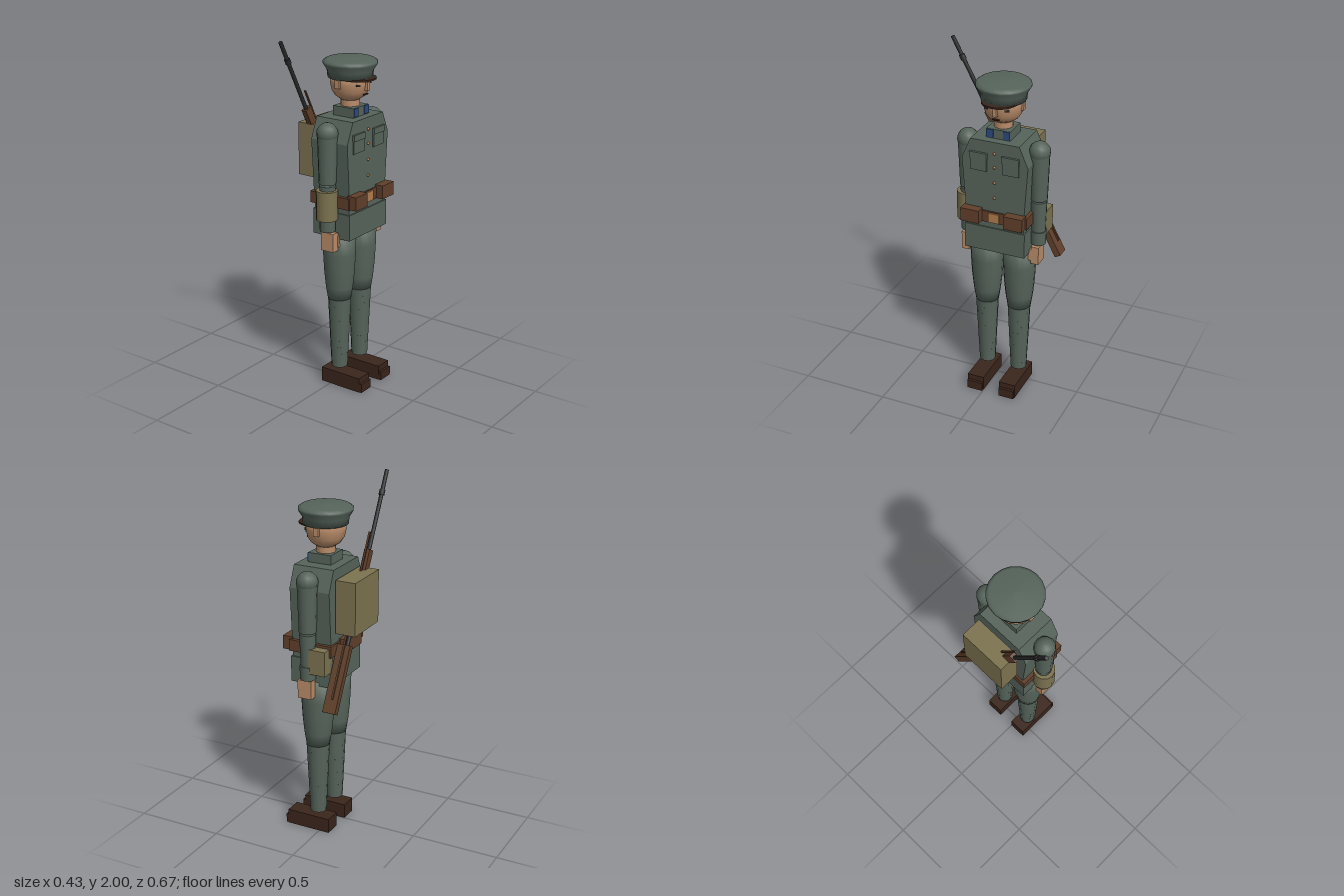
import * as THREE from 'three';

const mat = (name, color) => {
  const m = new THREE.MeshStandardMaterial({ color });
  m.name = name;
  return m;
};

const MID = -0.048; // body centre line in z; the figure faces +x
const CX = 0.03;    // body axis in x

export function createModel() {
  const root = new THREE.Group();
  root.name = 'soldier';
  const cloth = mat('greyGreenCloth', 0x56645b);
  const leather = mat('brownLeather', 0x603f2b);
  const boot = mat('darkBoot', 0x3a251b);
  const skin = mat('skin', 0xba8d6a);
  const canvas = mat('canvas', 0x7d7350);
  const steel = mat('gunSteel', 0x2b2b2d);
  const blue = mat('collarBlue', 0x2b4a80);
  const brass = mat('brass', 0xb07d4c);

  const add = (name, geo, m, x = 0, y = 0, z = 0, parent = root) => {
    const mesh = new THREE.Mesh(geo, m);
    mesh.name = name;
    mesh.position.set(x, y, z);
    parent.add(mesh);
    return mesh;
  };
  // Box given by its min and max on each axis
  const box = (name, m, x0, x1, y0, y1, z0, z1, parent = root) =>
    add(name, new THREE.BoxGeometry(x1 - x0, y1 - y0, z1 - z0), m,
      (x0 + x1) / 2, (y0 + y1) / 2, (z0 + z1) / 2, parent);
  // Box mirrored across the body: a..b are distances from the centre line
  const pair = (name, m, x0, x1, y0, y1, a, b) => {
    box(name + 'Left', m, x0, x1, y0, y1, MID - b, MID - a);
    box(name + 'Right', m, x0, x1, y0, y1, MID + a, MID + b);
  };
  const cyl = (name, m, rTop, rBottom, y0, y1, x, z, sides = 12, parent = root) =>
    add(name, new THREE.CylinderGeometry(rTop, rBottom, y1 - y0, sides), m, x, (y0 + y1) / 2, z, parent);
  const lathe = (name, m, pts, x, z, sides = 12) =>
    add(name, new THREE.LatheGeometry(pts.map(p => new THREE.Vector2(...p)), sides), m, x, 0, z);

  // Legs, puttees and boots
  for (const s of [-1, 1]) {
    const z = MID + s * 0.098;
    const side = s > 0 ? 'Right' : 'Left';
    box('boot' + side, boot, -0.06, 0.2, 0, 0.085, z - 0.049, z + 0.049);
    box('bootToe' + side, boot, 0.19, 0.215, 0, 0.052, z - 0.046, z + 0.046);
    const wraps = 10;
    for (let i = 0; i < wraps; i++) {
      const y0 = 0.11 + i * 0.042;
      const r = 0.046 + i * 0.0019;
      cyl('putteeWrap' + side, cloth, r + 0.002, r, y0, y0 + 0.042, CX, z);
    }
    lathe('breeches' + side, cloth,
      [[0, 0.53], [0.066, 0.53], [0.077, 0.6], [0.086, 0.69], [0.092, 0.8], [0.095, 0.93], [0, 0.93]], CX, z, 16);
  }

  // Tunic body with sloping shoulders
  const outline = new THREE.Shape();
  [[-0.165, 1.08], [0.165, 1.08], [0.19, 1.45], [0.14, 1.565], [-0.14, 1.565], [-0.19, 1.45]]
    .forEach(([x, y], i) => (i ? outline.lineTo(x, y) : outline.moveTo(x, y)));
  const torso = new THREE.ExtrudeGeometry(outline, { depth: 0.237, bevelEnabled: false });
  torso.rotateY(Math.PI / 2);
  add('tunic', torso, cloth, -0.09, 0, MID);
  pair('tunicSkirt', cloth, -0.09, 0.152, 0.91, 1.055, 0, 0.176);
  box('tunicWaist', cloth, -0.085, 0.145, 1.05, 1.1, MID - 0.168, MID + 0.168);
  pair('breastPocket', cloth, 0.14, 0.155, 1.39, 1.485, 0.045, 0.14);
  pair('pocketFlap', cloth, 0.14, 0.16, 1.46, 1.495, 0.042, 0.143);
  for (const y of [1.5, 1.42, 1.33, 1.24])
    add('button', new THREE.SphereGeometry(0.008, 8, 6), brass, 0.149, y, MID);

  // Belt with pouches
  box('belt', leather, -0.1, 0.156, 1.09, 1.155, MID - 0.19, MID + 0.19);
  box('buckle', brass, 0.15, 0.165, 1.095, 1.15, MID - 0.032, MID + 0.032);
  pair('ammoPouch', leather, 0.14, 0.198, 1.092, 1.168, 0.072, 0.18);
  box('rearPouch', leather, -0.145, -0.09, 1.095, 1.165, MID - 0.08, MID + 0.08);

  // Collar and neck
  box('collar', cloth, -0.035, 0.1, 1.56, 1.617, MID - 0.068, MID + 0.068);
  pair('collarTab', blue, 0.099, 0.105, 1.57, 1.615, 0.028, 0.067);
  cyl('neck', skin, 0.052, 0.052, 1.58, 1.68, CX, MID);

  // Arms
  for (const s of [-1, 1]) {
    const z = MID + s * 0.208;
    const side = s > 0 ? 'Right' : 'Left';
    add('shoulder' + side, new THREE.SphereGeometry(0.059, 12, 10), cloth, CX, 1.503, z);
    cyl('upperArm' + side, cloth, 0.056, 0.047, 1.225, 1.51, CX, z);
    cyl('forearm' + side, cloth, 0.045, 0.038, 1.0, 1.215, CX, z);
    cyl('cuff' + side, cloth, 0.045, 0.043, 0.957, 1.035, CX, z);
    box('hand' + side, skin, 0, 0.082, 0.845, 0.95, z - 0.022, z + 0.022);
    box('thumb' + side, skin, 0.055, 0.085, 0.865, 0.93, z - s * 0.03 - 0.01, z - s * 0.03 + 0.01);
  }

  // Head and face
  lathe('head', skin,
    [[0, 1.648], [0.05, 1.65], [0.08, 1.67], [0.1, 1.7], [0.11, 1.745], [0.109, 1.79], [0, 1.8]], CX, MID, 16);
  box('nose', skin, 0.13, 0.15, 1.71, 1.755, MID - 0.011, MID + 0.011);
  pair('ear', skin, 0.012, 0.042, 1.725, 1.77, 0.1, 0.118);
  for (const s of [-1, 1]) {
    const eye = box('eye', steel, 0.118, 0.126, 1.738, 1.748, MID + s * 0.058 - 0.012, MID + s * 0.058 + 0.012);
    eye.rotation.y = -s * 0.56;
  }
  box('mouth', boot, 0.126, 0.135, 1.685, 1.691, MID - 0.02, MID + 0.02);

  // Peaked cap
  lathe('cap', cloth,
    [[0, 1.772], [0.122, 1.772], [0.126, 1.81], [0.148, 1.845], [0.148, 1.858], [0.13, 1.87], [0, 1.877]], CX, MID, 20);
  const peak = new THREE.Shape();
  peak.moveTo(0.08, -0.1);
  peak.quadraticCurveTo(0.178, -0.085, 0.178, 0);
  peak.quadraticCurveTo(0.178, 0.085, 0.08, 0.1);
  const peakGeo = new THREE.ExtrudeGeometry(peak, { depth: 0.009, bevelEnabled: false, curveSegments: 6 });
  peakGeo.rotateX(-Math.PI / 2);
  add('capPeak', peakGeo, boot, 0, 1.767, MID);

  // Carried kit
  box('backpack', canvas, -0.217, -0.1, 1.215, 1.512, MID - 0.138, MID + 0.138);
  cyl('canteen', canvas, 0.06, 0.06, 1.025, 1.19, CX, 0.166);
  box('breadBag', canvas, -0.09, 0.01, 1.0, 1.14, -0.29, -0.2);

  // Slung rifle, built upright and tilted
  const rifle = new THREE.Group();
  rifle.name = 'rifle';
  rifle.position.set(-0.143, 1.4, 0.01);
  rifle.rotation.x = 0.489;
  root.add(rifle);
  cyl('barrel', steel, 0.011, 0.011, -0.34, 0.675, 0, 0, 10, rifle);
  cyl('frontSight', steel, 0.016, 0.016, 0.535, 0.565, 0, 0, 10, rifle);
  box('foreStock', leather, -0.016, 0.016, -0.16, 0.23, -0.026, 0.02, rifle);
  box('buttStock', leather, -0.032, 0.044, -0.675, -0.3, -0.034, 0.002, rifle);
  box('sling', leather, -0.005, 0.005, -0.6, 0.32, -0.045, -0.037, rifle);

  return root;
}
